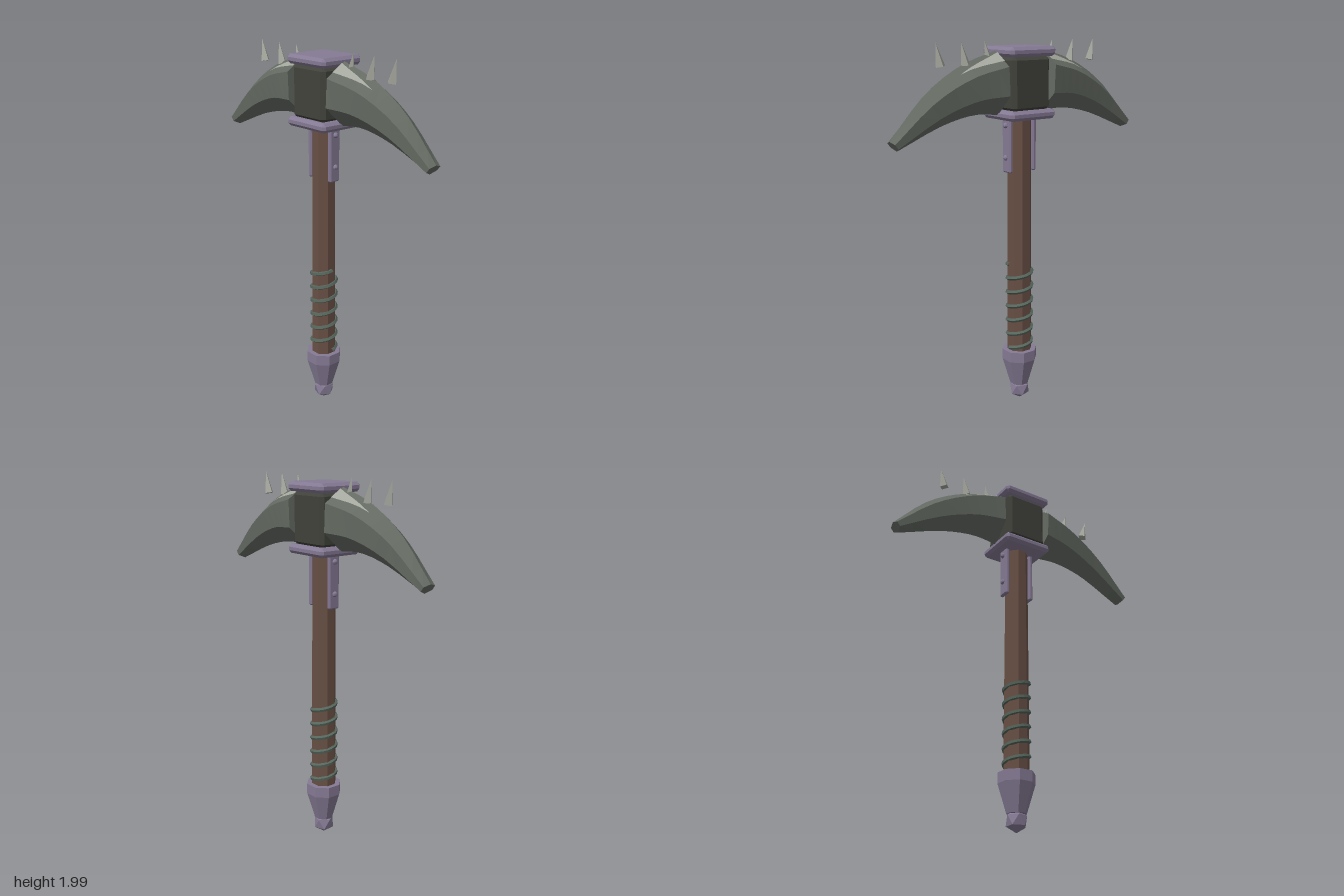
import * as THREE from 'three';
import { ConvexGeometry } from 'three/addons/geometries/ConvexGeometry.js';

const mat = (name, color, extra = {}) => {
  const m = new THREE.MeshStandardMaterial({ color, flatShading: true, ...extra });
  m.name = name;
  return m;
};

// Box with chamfered edges
function bevelBox(w, h, d, b) {
  const pts = [], x = w / 2, y = h / 2, z = d / 2;
  for (const i of [-1, 1]) for (const j of [-1, 1]) for (const k of [-1, 1]) {
    pts.push(new THREE.Vector3(i * x, j * (y - b), k * (z - b)));
    pts.push(new THREE.Vector3(i * (x - b), j * y, k * (z - b)));
    pts.push(new THREE.Vector3(i * (x - b), j * (y - b), k * z));
  }
  return new ConvexGeometry(pts);
}

// Eight-sided column with a flat face to the front; radii are to the faces
function octagon(rTop, rBottom, height) {
  const k = 1 / Math.cos(Math.PI / 8);
  return new THREE.CylinderGeometry(rTop * k, rBottom * k, height, 8).rotateY(Math.PI / 8);
}

function triangles(list) {
  const g = new THREE.BufferGeometry().setFromPoints(list);
  g.computeVertexNormals();
  return g;
}

// Blade outline: upper ridge and lower ridge
const curve = (pts) => new THREE.CatmullRomCurve3(pts.map(([x, y]) => new THREE.Vector3(x, y, 0)));
const ridge = curve([[0.153, 1.95], [0.36, 1.885], [0.57, 1.757], [0.773, 1.545]]);
const belly = curve([[0.138, 1.625], [0.28, 1.635], [0.465, 1.6], [0.735, 1.495]]);
const STEPS = 10;

// Six-sided blade section at step i
function section(i) {
  const t = i / STEPS, top = ridge.getPoint(t), bottom = belly.getPoint(t);
  const w = THREE.MathUtils.lerp(0.115, 0.038, t);
  const side = (f, z) => top.clone().lerp(bottom, f).setZ(z);
  return [top, side(0.23, w), side(0.68, w), bottom, side(0.68, -w), side(0.23, -w)];
}

function bladeGeometry() {
  const rings = Array.from({ length: STEPS + 1 }, (_, i) => section(i));
  const out = [];
  for (let i = 0; i < STEPS; i++) for (let j = 0; j < 6; j++) {
    const k = (j + 1) % 6;
    const a = rings[i][j], b = rings[i][k], c = rings[i + 1][k], d = rings[i + 1][j];
    out.push(a, b, c, a, c, d);
  }
  const root = rings[0], tip = rings[STEPS];
  for (let j = 1; j < 5; j++) out.push(tip[0], tip[j], tip[j + 1], root[0], root[j + 1], root[j]);
  return triangles(out);
}

// Pale worn patch tapering along one upper facet of the blade
function wornPatch(corner) {
  const out = [], n = 4;
  const at = (i, s) => {
    const r = section(i);
    const p = r[0].clone().lerp(r[corner], s);
    p.y += 0.004;
    return p;
  };
  const span = (i) => [0.48 - 0.33 * (1 - i / n), 0.48 + 0.2 * (1 - i / n)];
  for (let i = 0; i < n; i++) {
    const [l0, h0] = span(i), [l1, h1] = span(i + 1);
    const a = at(i, l0), b = at(i, h0), c = at(i + 1, h1), d = at(i + 1, l1);
    if (corner === 1) out.push(a, b, c, a, c, d);
    else out.push(a, c, b, a, d, c);
  }
  return triangles(out);
}

// Spiral wrapped around the grip
class Spiral extends THREE.Curve {
  getPoint(t, target = new THREE.Vector3()) {
    const a = Math.PI / 2 + t * Math.PI * 12;
    return target.set(0.066 * Math.sin(a), 0.325 + 0.485 * t, 0.066 * Math.cos(a));
  }
}

export function createModel() {
  const model = new THREE.Group();
  model.name = 'pickaxe';
  const purple = mat('purple metal', 0x857a94);
  const dark = mat('dark core', 0x40423a);
  const stone = mat('grey blade', 0x646a62);
  const wood = mat('brown wood', 0x674f44);
  const pale = mat('pale stone', 0xa4a79d, { side: THREE.DoubleSide });
  const cord = mat('green cord', 0x56665c);

  const add = (parent, name, geometry, material, x = 0, y = 0, z = 0) => {
    const mesh = new THREE.Mesh(geometry, material);
    mesh.name = name;
    mesh.position.set(x, y, z);
    parent.add(mesh);
    return mesh;
  };

  // Handle, grip and pommel
  add(model, 'handle', octagon(0.058, 0.063, 1.32), wood, 0, 0.95);
  add(model, 'gripWrap', new THREE.TubeGeometry(new Spiral(), 120, 0.012, 5), cord);
  add(model, 'pommelCollar', octagon(0.09, 0.09, 0.058), purple, 0, 0.281);
  add(model, 'pommelTaper', octagon(0.09, 0.048, 0.152), purple, 0, 0.176);
  const gem = new THREE.IcosahedronGeometry(0.06, 0).rotateZ(Math.atan(2 / (1 + Math.sqrt(5))));
  add(model, 'pommelTip', gem, purple, 0, 0.066);

  // Head core between two plates
  add(model, 'headCore', bevelBox(0.24, 0.28, 0.226, 0.02), dark, 0, 1.783);
  for (const [name, y] of [['topPlate', 1.945], ['bottomPlate', 1.625]])
    add(model, name, bevelBox(0.288, 0.05, 0.262, 0.016), purple, 0, y);

  // Each half of the head: blade, spikes, strap and rivets
  for (const side of ['left', 'right']) {
    const half = new THREE.Group();
    half.name = side + 'Half';
    if (side === 'right') half.rotation.y = Math.PI;
    model.add(half);
    add(half, 'blade', bladeGeometry(), stone);
    add(half, 'frontWornPatch', wornPatch(1), pale);
    add(half, 'backWornPatch', wornPatch(5), pale);
    for (const x of [0.205, 0.347, 0.493]) {
      const spike = add(half, 'spike', new THREE.ConeGeometry(0.027, 0.118, 4), pale, x, 1.942);
      spike.rotation.z = -0.22;
    }
    add(half, 'strap', bevelBox(0.024, 0.29, 0.068, 0.007), purple, 0.077, 1.462);
    for (const y of [1.567, 1.397])
      add(half, 'rivet', new THREE.SphereGeometry(0.015, 8, 6), purple, 0.09, y);
  }
  return model;
}
